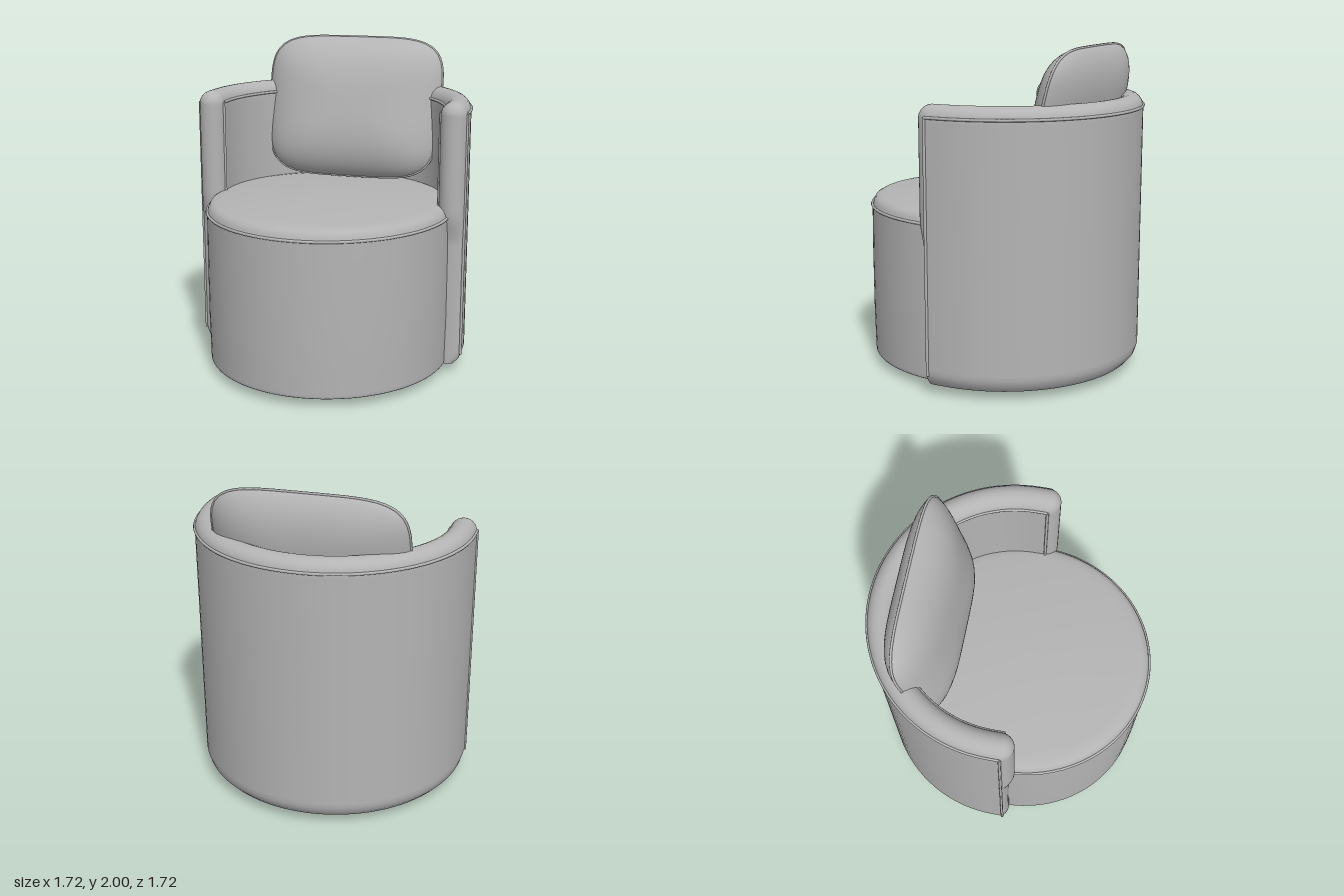
import * as THREE from 'three';
import { mergeVertices } from 'three/addons/utils/BufferGeometryUtils.js';

const fabric = new THREE.MeshStandardMaterial({ color: 0xb4b4b4 });
fabric.name = 'greyFabric';
const black = new THREE.MeshStandardMaterial({ color: 0x1a1a1a });
black.name = 'blackBase';

const R = 0.77, HALF = 0.08, ARM_Z = 0.06, RIM = 1.62;

function add(parent, name, geometry, material = fabric) {
  const mesh = new THREE.Mesh(geometry, material);
  mesh.name = name;
  parent.add(mesh);
  return mesh;
}

// Smooth skin over a list of rows of [x, y, z] points
function skin(rows, closed) {
  const n = rows[0].length, index = [];
  for (let j = 0; j < rows.length - 1; j++) {
    for (let i = 0; i < (closed ? n : n - 1); i++) {
      const i2 = (i + 1) % n;
      const a = j * n + i, b = a + n, c = j * n + i2, d = c + n;
      index.push(a, b, c, b, d, c);
    }
  }
  const g = new THREE.BufferGeometry();
  g.setAttribute('position', new THREE.Float32BufferAttribute(rows.flat(2), 3));
  g.setIndex(index);
  const merged = mergeVertices(g, 1e-4);
  merged.computeVertexNormals();
  return merged;
}

// Padded wall swept along a U, with rounded rim and rounded arm fronts
function wallGeometry() {
  const section = [[0.3, 0.055], [0.5, 0.058], [0.85, 0.09], [1, 0.13], [1, 0.16]];
  const heights = [0.5, 0.82, 0.86, 0.9, 0.94, 0.98, 1.02, 1.06, 1.6];
  heights.forEach(y => section.push([1, y]));
  for (let k = 0; k <= 12; k++) {
    const a = k / 12 * Math.PI;
    section.push([Math.cos(a), RIM + Math.sin(a) * 0.08]);
  }
  [...heights].reverse().forEach(y => section.push([-1, y]));
  section.push([-1, 0.1], [-0.9, 0.06]);

  const row = (angle, straight, cap) => section.map(([w, y]) => {
    const s = Math.cos(cap);
    const nose = 0.04 + 0.04 * THREE.MathUtils.smoothstep(y, 0.82, 1.04);
    const r = R + w * HALF * s;
    return [
      Math.cos(angle) * r,
      y > RIM ? RIM + (y - RIM) * s : y,
      -Math.sin(angle) * r + straight + nose * Math.sin(cap),
    ];
  });
  const rows = [];
  for (let k = 8; k >= 0; k--) rows.push(row(0, ARM_Z, k / 8 * Math.PI / 2));
  for (let k = 0; k <= 48; k++) rows.push(row(k / 48 * Math.PI, 0, 0));
  for (let k = 0; k <= 8; k++) rows.push(row(Math.PI, ARM_Z, k / 8 * Math.PI / 2));
  return skin(rows, true);
}

// Piping along one edge of the wall: rim plus a drop down each arm
function addWallPiping(parent, name, radius, bottom) {
  const group = new THREE.Group();
  group.name = name;
  parent.add(group);
  const y = 1.63, z = 0.07, pts = [new THREE.Vector3(radius, y, z)];
  for (let k = 0; k <= 40; k++) {
    const a = k / 40 * Math.PI;
    pts.push(new THREE.Vector3(Math.cos(a) * radius, y, -Math.sin(a) * radius));
  }
  pts.push(new THREE.Vector3(-radius, y, z));
  add(group, 'rimPiping', new THREE.TubeGeometry(new THREE.CatmullRomCurve3(pts), 96, 0.009, 8));
  for (const side of [1, -1]) {
    const drop = add(group, side > 0 ? 'leftArmPiping' : 'rightArmPiping',
      new THREE.CylinderGeometry(0.009, 0.009, y - bottom, 8));
    drop.position.set(side * radius, (y + bottom) / 2, z);
  }
}

// Cushion outline: rounded rectangle, a little wider at the top
function cushionPoint(angle, r) {
  const c = Math.cos(angle), s = Math.sin(angle), n = 4.6;
  const k = r / Math.pow(Math.abs(c) ** n + Math.abs(s) ** n, 1 / n);
  return [c * k * 0.575 * (1 + 0.03 * s * k), s * k * 0.458];
}

function cushionHalf() {
  const rows = [], N = 72;
  for (let k = 0; k <= 16; k++) {
    const r = Math.sin(k / 16 * Math.PI / 2);
    const h = 0.165 * Math.pow(Math.max(0, 1 - r ** 3), 0.7);
    rows.push(Array.from({ length: N }, (_, t) => [...cushionPoint(t / N * Math.PI * 2, r), h]));
  }
  return skin(rows, true);
}

export function createModel() {
  const chair = new THREE.Group();
  chair.name = 'tubArmchair';

  // Swivel base
  const base = add(chair, 'swivelBase', new THREE.CylinderGeometry(0.507, 0.507, 0.055, 64), black);
  base.position.set(0, 0.0275, 0.07);
  base.scale.z = 1.06;

  // Round seat, slightly deeper than wide
  const seat = new THREE.Group();
  seat.name = 'seat';
  seat.position.z = 0.06;
  seat.scale.z = 1.04;
  chair.add(seat);
  const lathe = pts => new THREE.LatheGeometry(pts.map(p => new THREE.Vector2(...p)), 80);
  add(seat, 'seatBody', lathe([[0, 0.055], [0.74, 0.055], [0.75, 0.056], [0.754, 0.062],
    [0.755, 0.08], [0.76, 0.35], [0.76, 0.7], [0.757, 1.0]]));
  add(seat, 'seatPad', lathe([[0.755, 1.0], [0.748, 1.025], [0.735, 1.048], [0.71, 1.062],
    [0.66, 1.07], [0.5, 1.085], [0.3, 1.099], [0.15, 1.105], [0, 1.107]]));
  const welt = add(seat, 'seatPiping', new THREE.TorusGeometry(0.757, 0.009, 8, 80));
  welt.rotation.x = Math.PI / 2;
  welt.position.y = 1.0;

  // Wraparound back and arms
  add(chair, 'backAndArms', wallGeometry());
  addWallPiping(chair, 'outerPiping', R + HALF, 0.12);
  addWallPiping(chair, 'innerPiping', R - HALF, 0.98);

  // Loose back cushion, leaning back
  const cushion = new THREE.Group();
  cushion.name = 'backCushion';
  cushion.position.set(0, 1.55, -0.495);
  cushion.rotation.x = -0.23;
  chair.add(cushion);
  const half = cushionHalf();
  add(cushion, 'cushionFront', half);
  const rear = add(cushion, 'cushionRear', half);
  rear.rotation.y = Math.PI;
  rear.scale.z = 0.92;
  const seam = Array.from({ length: 72 }, (_, t) =>
    new THREE.Vector3(...cushionPoint(t / 72 * Math.PI * 2, 1), 0));
  add(cushion, 'cushionPiping',
    new THREE.TubeGeometry(new THREE.CatmullRomCurve3(seam, true), 120, 0.008, 6, true));

  return chair;
}
